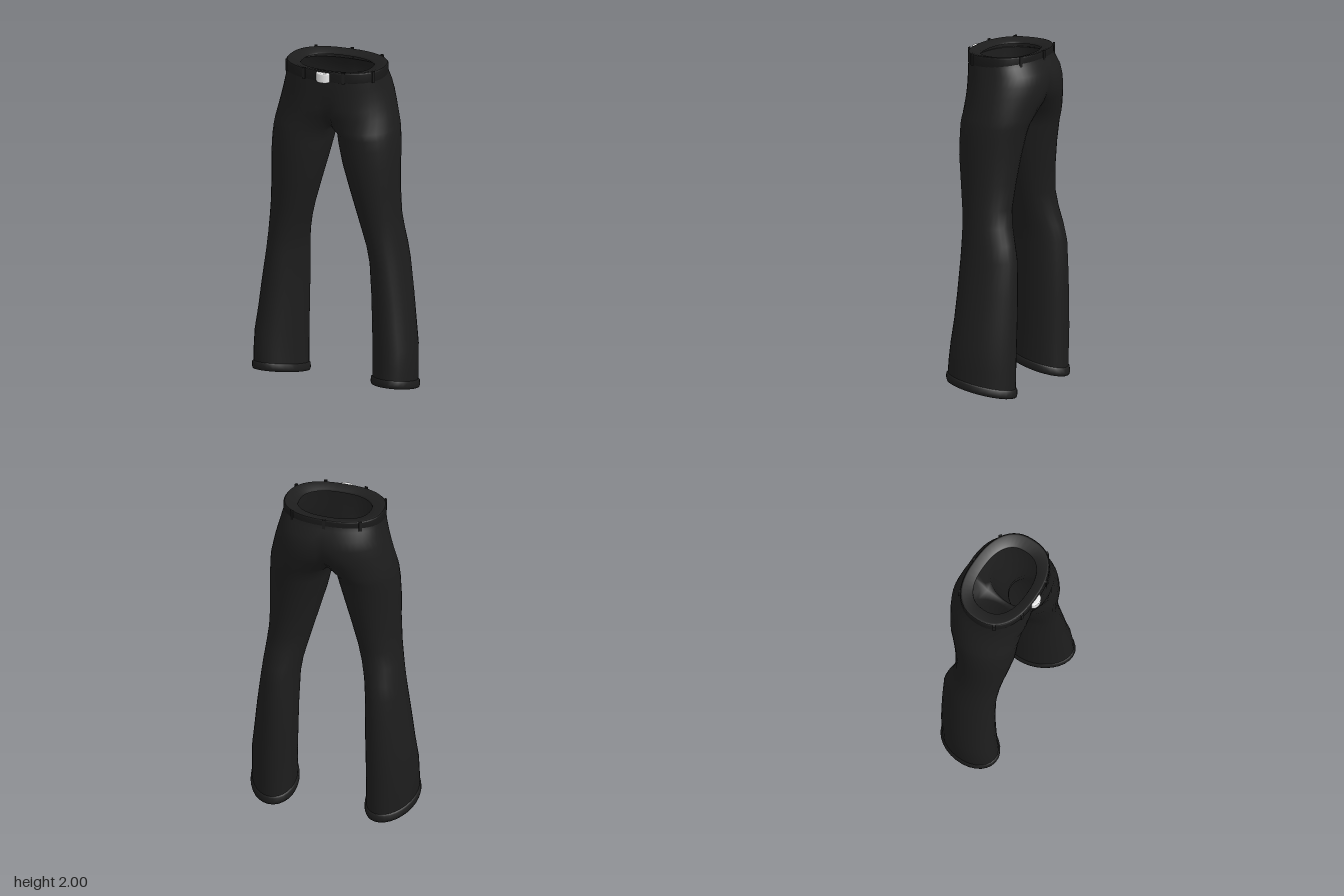
import * as THREE from 'three';
import { mergeVertices, mergeGeometries } from 'three/addons/utils/BufferGeometryUtils.js';

const ARC = 24, INNER = 10, N = ARC + INNER; // outer arc and inner-leg segments of a ring
const CROTCH = 13;                           // row at which the two legs join

// height, inner x, outer x, back z, front z, hem tilt, outward skew
const ROWS = [
  [0.09, 0.223, 0.492, -0.183, 0.208, 0.235, 0.15],
  [0.18, 0.223, 0.493, -0.185, 0.202, 0.17, 0.15],
  [0.3, 0.221, 0.491, -0.188, 0.192, 0.08, 0.14],
  [0.45, 0.217, 0.473, -0.19, 0.178, 0, 0.12],
  [0.6, 0.213, 0.457, -0.19, 0.167, 0, 0.1],
  [0.8, 0.207, 0.432, -0.185, 0.16, 0, 0.05],
  [0.9, 0.194, 0.42, -0.165, 0.161, 0, 0.02],
  [1.0, 0.17, 0.408, -0.138, 0.165, 0, 0],
  [1.1, 0.143, 0.397, -0.125, 0.175, 0, 0],
  [1.25, 0.1, 0.39, -0.136, 0.195, 0, 0],
  [1.4, 0.057, 0.39, -0.155, 0.213, 0, 0],
  [1.52, 0.028, 0.386, -0.177, 0.216, 0, 0],
  [1.585, 0.016, 0.38, -0.195, 0.216, 0, 0],
  [1.625, -0.03, 0.375, -0.209, 0.216, 0, 0],
  [1.7, -0.12, 0.358, -0.234, 0.218, 0, 0],
  [1.76, -0.165, 0.344, -0.247, 0.219, 0, 0],
  [1.82, -0.2, 0.328, -0.251, 0.22, 0, 0],
  [1.88, -0.235, 0.311, -0.24, 0.222, 0, 0],
  [1.93, -0.275, 0.3, -0.212, 0.223, 0, 0],
  [1.97, -0.292, 0.292, -0.198, 0.222, 0, 0],
];

const axisX = (y) => -0.006 - 0.007 * Math.min(1, y);

// Cosine or sine pushed outwards, giving a rounder-cornered ellipse
const bulge = (v, p) => Math.sign(v) * Math.abs(v) ** (2 / p);

// Skin closed rings, given from bottom to top; keep() can leave cells open
function skin(rings, flip = false, keep = () => true) {
  const n = rings[0].length, index = [];
  for (let i = 0; i < rings.length - 1; i++) {
    for (let j = 0; j < n; j++) {
      if (!keep(i, j)) continue;
      const k = (j + 1) % n;
      const a = i * n + j, b = i * n + k, c = a + n, d = b + n;
      if (flip) index.push(a, b, c, b, d, c);
      else index.push(a, c, b, b, c, d);
    }
  }
  const g = new THREE.BufferGeometry();
  g.setAttribute('position', new THREE.Float32BufferAttribute(rings.flat(2), 3));
  g.setIndex(index);
  return g;
}

// One ring of a leg; grow widens it, lift moves it up
function legRing(row, side, rowIndex, grow = 0, lift = 0) {
  const [y, inner, outer, back, front, tilt, skew] = row;
  const cx = (inner + outer) / 2, rx = (outer - inner) / 2;
  const cz = (back + front) / 2, rz = (front - back) / 2;
  const p = 2 + 0.4 * THREE.MathUtils.smoothstep(y, 1.75, 1.97);
  const a0 = inner < 0 ? Math.acos(-((cx / rx) ** (p / 2))) : 2.6;
  const ring = [];
  for (let j = 0; j < N; j++) {
    const onArc = j <= ARC;
    const t = onArc ? j / ARC : (j - ARC) / INNER;
    const a = onArc ? -a0 + 2 * a0 * t : a0 + (2 * Math.PI - 2 * a0) * t;
    const s = bulge(Math.sin(a), p);
    let x = cx + (rx + grow) * bulge(Math.cos(a), p) + skew * rz * s;
    const z = cz + (rz + grow) * s;
    let h = y + lift + tilt * z;
    // seam points lie exactly on the middle plane
    if (inner < 0 && (j === 0 || j >= ARC)) x = 0;
    if (rowIndex === CROTCH && !onArc) h -= 0.015 * Math.sin(Math.PI * t);
    ring.push([side * x + axisX(y), h, z]);
  }
  return ring;
}

// Point on the waistline at angle a, moved outwards by grow
function waistPoint(a, grow, y) {
  return [
    axisX(2) + (0.292 + grow) * bulge(Math.cos(a), 2.4), y,
    0.012 + (0.21 + grow * 0.8) * bulge(Math.sin(a), 2.4)];
}

const waistBand = (profile) => {
  const g = skin(profile.map(([grow, y]) =>
    Array.from({ length: 48 }, (_, j) => waistPoint((j / 48) * Math.PI * 2, grow, y))));
  g.computeVertexNormals();
  return g;
};

export function createModel() {
  const model = new THREE.Group();
  const cloth = new THREE.MeshStandardMaterial({ color: 0x1d1d1d, side: THREE.DoubleSide });
  cloth.name = 'black cloth';
  const leather = new THREE.MeshStandardMaterial({ color: 0x191919, side: THREE.DoubleSide });
  leather.name = 'black leather';
  const metal = new THREE.MeshStandardMaterial({ color: 0xe6e6e6 });
  metal.name = 'silver metal';

  const add = (name, geometry, material) => {
    const mesh = new THREE.Mesh(geometry, material);
    mesh.name = name;
    model.add(mesh);
    return mesh;
  };

  // Both legs and the hips, welded along the middle seam
  const halves = [1, -1].map((side) => skin(
    ROWS.map((row, i) => legRing(row, side, i)),
    side < 0,
    (i, j) => i < CROTCH || j < ARC,
  ));
  const body = mergeVertices(mergeGeometries(halves), 1e-4);
  body.computeVertexNormals();
  add('trousers', body, cloth);

  // Turned-up hems, slanting down to the back
  const cuffProfile = [[-0.018, 0.02], [-0.016, -0.036], [0.006, -0.044], [0.01, -0.03], [0.008, -0.004], [0, 0.004]];
  for (const side of [1, -1]) {
    const rings = cuffProfile.map(([grow, lift]) => legRing(ROWS[0], side, 0, grow, lift));
    const cuff = skin(rings, side < 0);
    cuff.computeVertexNormals();
    add(side > 0 ? 'leftCuff' : 'rightCuff', cuff, cloth);
  }

  // Belt around the waist, and the wide rim folded inwards around the opening
  add('belt', waistBand([[0, 1.93], [0.007, 1.934], [0.007, 1.986], [0.001, 1.992]]), leather);
  add('waistRim', waistBand([[0.001, 1.992], [-0.01, 1.995], [-0.073, 1.98], [-0.077, 1.968]]), cloth);

  // Belt loops, as degrees around the waist from the left side
  for (const degrees of [27, 70, 110, 153, 230, 270, 310]) {
    const a = THREE.MathUtils.degToRad(degrees);
    const [x0, , z0] = waistPoint(a - 0.02, 0, 0);
    const [x1, , z1] = waistPoint(a + 0.02, 0, 0);
    const loop = add('beltLoop', new THREE.BoxGeometry(0.018, 0.068, 0.01), cloth);
    loop.position.set(...waistPoint(a, 0.008, 1.964));
    loop.rotation.y = Math.atan2(z1 - z0, x0 - x1);
  }

  // Domed buckle plate with softened ends
  const dome = new THREE.Shape();
  dome.absellipse(0, 0, 0.034, 0.021, Math.PI, Math.PI * 2, false);
  const buckle = add('buckle', new THREE.ExtrudeGeometry(dome, {
    depth: 0.044, bevelThickness: 0.007, bevelSize: 0.007, bevelSegments: 3, curveSegments: 14,
  }), metal);
  buckle.rotation.x = -Math.PI / 2;
  buckle.position.set(axisX(2), 1.936, 0.226);

  return model;
}
